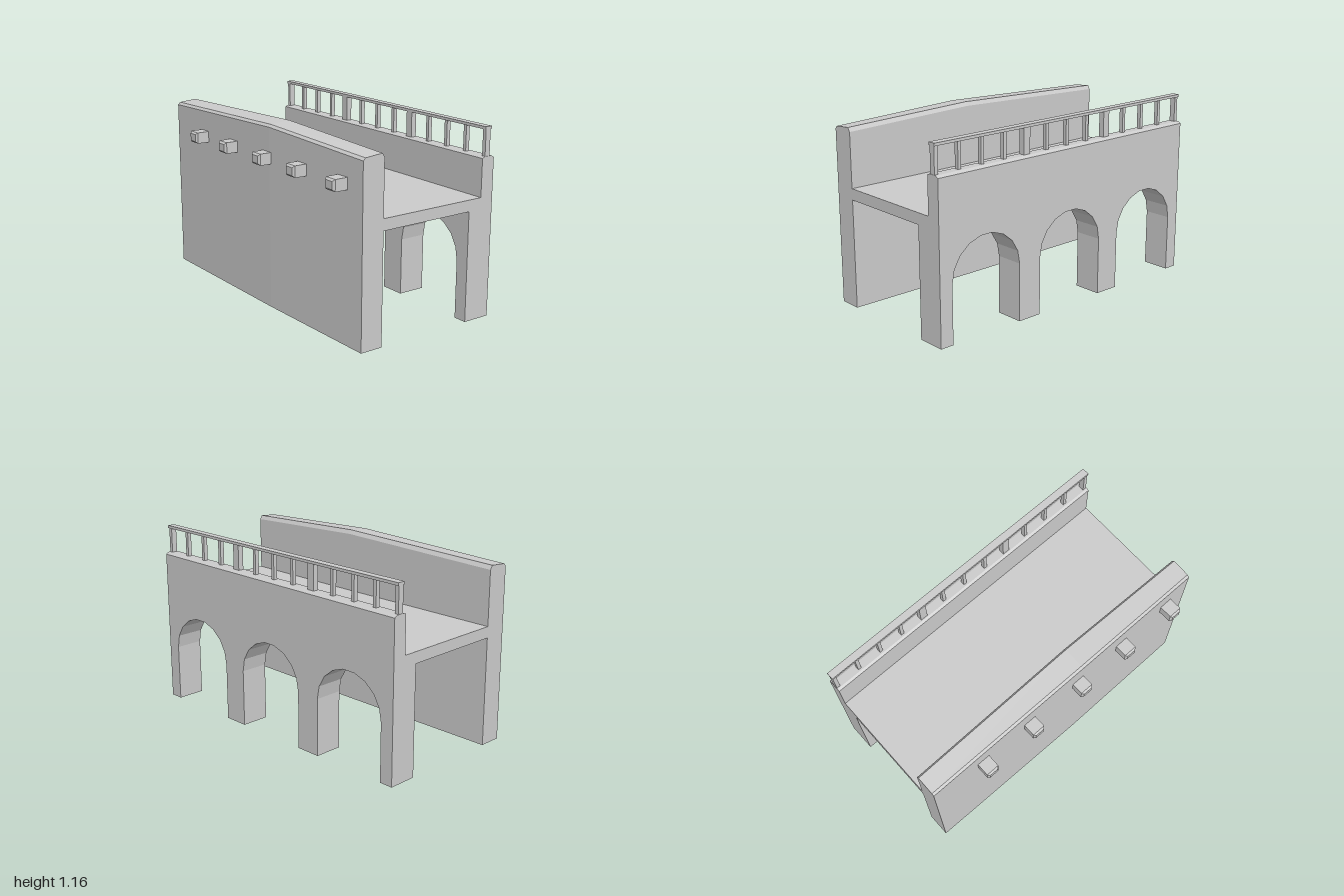
import * as THREE from 'three';

const material = new THREE.MeshStandardMaterial({ color: 0xcccccc, flatShading: true });

function add(parent, name, geometry, x = 0, y = 0, z = 0) {
  const mesh = new THREE.Mesh(geometry, material);
  mesh.name = name;
  mesh.position.set(x, y, z);
  parent.add(mesh);
  return mesh;
}

// Box given by its low and high corners
function block(parent, name, x0, x1, y0, y1, z0, z1) {
  return add(parent, name, new THREE.BoxGeometry(x1 - x0, y1 - y0, z1 - z0),
    (x0 + x1) / 2, (y0 + y1) / 2, (z0 + z1) / 2);
}

// Sweeps a [z, y] cross-section along x from -1 to 1
function sweep(profile, steps) {
  const shape = new THREE.Shape(profile.map(([z, y]) => new THREE.Vector2(-z, y)));
  return new THREE.ExtrudeGeometry(shape, { depth: 2, steps, bevelEnabled: false })
    .rotateY(Math.PI / 2).translate(-1, 0, 0);
}

// Solid wall with a chamfered top that peaks slightly off centre
function frontWallGeometry() {
  const geometry = sweep([[0.43, 0], [0.43, 1.09], [0.415, 1.105],
    [0.3, 1.115], [0.285, 1.09], [0.285, 0]], 2);
  const p = geometry.attributes.position;
  for (let i = 0; i < p.count; i++) {
    if (Math.abs(p.getX(i)) > 0.5) continue;
    p.setX(i, 0.12);
    p.setZ(i, p.getZ(i) + (p.getZ(i) > 0.36 ? 0.01 : -0.006));
    if (p.getY(i) > 1) p.setY(i, p.getY(i) + 0.034);
  }
  geometry.computeVertexNormals();
  return geometry;
}

// Lower back wall, its outline cut by three open arches
function arcadeGeometry() {
  const half = 0.25, spring = 0.36, rise = 0.24, segments = 9;
  const shape = new THREE.Shape();
  shape.moveTo(-1, 0.75);
  shape.lineTo(-1, 0);
  for (const cx of [-0.663, 0, 0.663]) {
    shape.lineTo(cx - half, 0);
    for (let i = 0; i <= segments; i++) {
      const a = Math.PI * (1 - i / segments);
      shape.lineTo(cx + half * Math.cos(a), spring + rise * Math.sin(a));
    }
    shape.lineTo(cx + half, 0);
  }
  shape.lineTo(1, 0);
  shape.lineTo(1, 0.75);
  return new THREE.ExtrudeGeometry(shape, { depth: 0.18, bevelEnabled: false });
}

// Stub beam end with chamfered outer edges
function beamGeometry() {
  const w = 0.03, h = 0.023, bevel = 0.012;
  const shape = new THREE.Shape([[-w, -h], [w, -h], [w, h], [-w, h]]
    .map(([x, y]) => new THREE.Vector2(x, y)));
  return new THREE.ExtrudeGeometry(shape, {
    depth: 0.085, bevelSize: bevel, bevelThickness: bevel, bevelSegments: 1
  });
}

export function createModel() {
  const model = new THREE.Group();
  model.name = 'bridge';

  add(model, 'frontWall', frontWallGeometry());
  block(model, 'deck', -1, 1, 0.68, 0.75, -0.35, 0.288);
  add(model, 'archedBackWall', arcadeGeometry(), 0, 0, -0.53);
  add(model, 'backParapet', sweep([[-0.44, 0.75], [-0.44, 0.982], [-0.455, 0.99],
    [-0.51, 0.99], [-0.53, 0.978], [-0.53, 0.75]], 1));

  // Row of beam ends on the front wall
  const beams = new THREE.Group();
  beams.name = 'beamEnds';
  model.add(beams);
  for (const x of [-0.64, -0.285, 0.095, 0.45, 0.825]) {
    add(beams, 'beamEnd', beamGeometry(), x, 0.94, 0.428);
  }

  // Railing: thick posts at the ends and thirds, thin balusters between
  const railing = new THREE.Group();
  railing.name = 'railing';
  model.add(railing);
  block(railing, 'topRail', -1, 1, 1.148, 1.165, -0.505, -0.458);
  for (let i = 0; i <= 12; i++) {
    const thick = i % 4 === 0;
    const w = i % 12 === 0 ? 0.012 : thick ? 0.024 : 0.011;
    const d = thick ? 0.018 : 0.013;
    const x = -0.985 + (i * 1.97) / 12;
    block(railing, thick ? 'post' : 'baluster', x - w, x + w, 0.98, 1.15, -0.48 - d, -0.48 + d);
  }
  return model;
}
